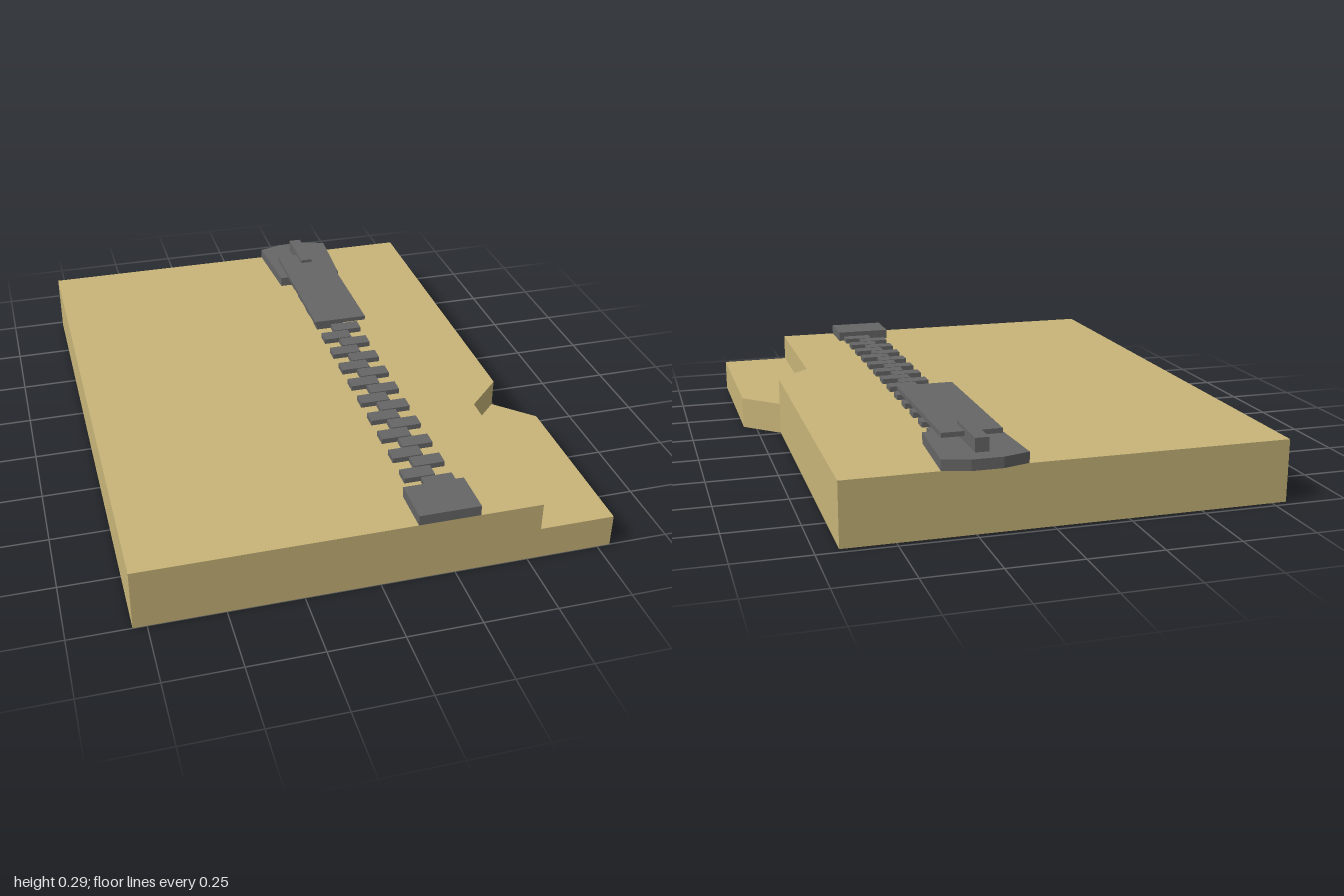
import * as THREE from 'three';

const cloth = new THREE.MeshStandardMaterial({ color: 0xc8b578, flatShading: true });
const metal = new THREE.MeshStandardMaterial({ color: 0x666666, flatShading: true });

// Upright prism from a plan outline of [x, z] points
function prism(name, outline, y0, y1, material) {
  const shape = new THREE.Shape(outline.map(([x, z]) => new THREE.Vector2(x, -z)));
  const geometry = new THREE.ExtrudeGeometry(shape, { depth: y1 - y0, bevelEnabled: false });
  geometry.rotateX(-Math.PI / 2).translate(0, y0, 0);
  const mesh = new THREE.Mesh(geometry, material);
  mesh.name = name;
  return mesh;
}

// Box given by its limits on each axis
function block(name, [x0, x1], [y0, y1], [z0, z1], material) {
  const mesh = new THREE.Mesh(new THREE.BoxGeometry(x1 - x0, y1 - y0, z1 - z0), material);
  mesh.position.set((x0 + x1) / 2, (y0 + y1) / 2, (z0 + z1) / 2);
  mesh.name = name;
  return mesh;
}

export function createModel() {
  const model = new THREE.Group();
  model.name = 'zipperPanel';
  const top = 0.213;

  // Fabric slab with a cut-back corner, and the lower ledge filling it
  model.add(prism('fabricPanel',
    [[-0.795, 1], [0.538, 1], [0.541, 0.385], [0.668, 0.258], [0.674, -0.975], [-0.8, -0.975]],
    0, top, cloth));
  model.add(prism('lowerLedge',
    [[0.538, 1], [0.795, 1], [0.795, 0.378], [0.668, 0.258], [0.541, 0.385]],
    0, 0.115, cloth));

  // Interlocking teeth, alternating sides and running up under the pull tab
  const teeth = new THREE.Group();
  teeth.name = 'teeth';
  for (let i = 0; i < 26; i++) {
    const z = 0.81 - i * 0.0592;
    const x = i % 2 ? 0.197 : 0.252;
    teeth.add(block('tooth', [x - 0.053, x + 0.053], [top, 0.232], [z - 0.027, z + 0.027], metal));
  }
  model.add(teeth);

  // End stop
  model.add(block('endStop', [0.117, 0.324], [top, 0.249], [0.842, 1], metal));

  // Slider body, bridge and pull tab
  const slider = new THREE.Group();
  slider.name = 'slider';
  slider.add(prism('sliderBody',
    [[0.1, -0.687], [0.346, -0.687], [0.362, -0.973], [0.275, -1], [0.172, -1], [0.083, -0.973]],
    top, 0.249, metal));
  slider.add(block('bridge', [0.2, 0.245], [0.249, 0.295], [-0.937, -0.738], metal));
  slider.add(block('pullTab', [0.12, 0.32], [0.267, 0.283], [-0.82, -0.225], metal));
  model.add(slider);

  return model;
}
